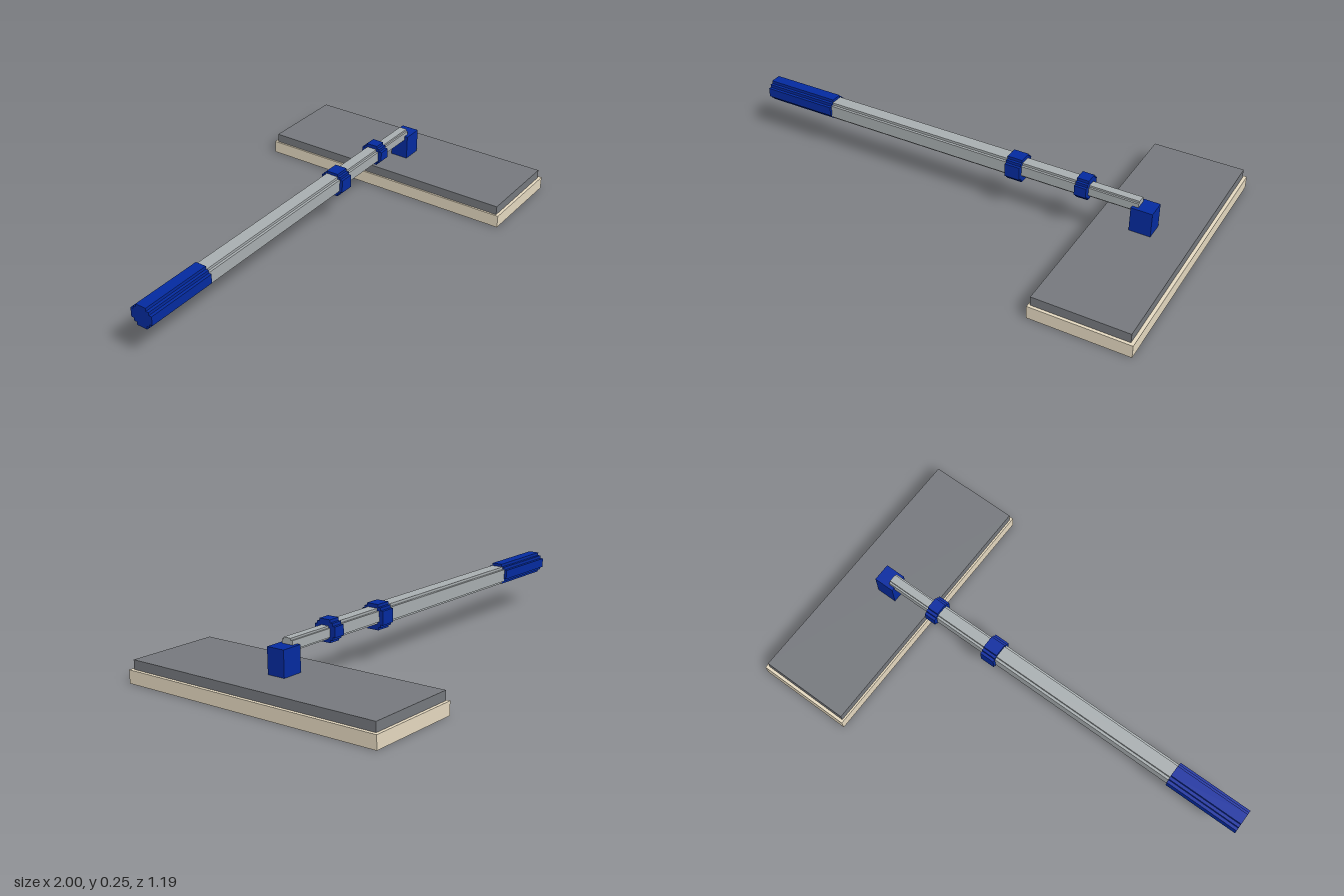
import * as THREE from 'three';

const mat = (name, color) => {
  const m = new THREE.MeshStandardMaterial({ color });
  m.name = name;
  return m;
};

export function createModel() {
  const blue = mat('blue plastic', 0x042ba0);
  const metal = mat('grey metal', 0xa9afb1);
  const plate = mat('dark grey plate', 0x76797e);
  const pad = mat('cream pad', 0xe6dac1);
  const group = new THREE.Group();
  group.name = 'flatMop';

  const add = (name, geometry, material) => {
    const mesh = new THREE.Mesh(geometry, material);
    mesh.name = name;
    group.add(mesh);
  };

  const box = (name, x0, x1, y0, y1, z0, z1, material) => {
    const g = new THREE.BoxGeometry(x1 - x0, y1 - y0, z1 - z0);
    g.translate((x0 + x1) / 2, (y0 + y1) / 2, (z0 + z1) / 2);
    add(name, g, material);
  };

  // Bar along x; its section is a rectangle with stepped corners
  const bar = (name, x0, x1, y0, y1, halfZ, step, steps, material) => {
    const cy = (y0 + y1) / 2, h = (y1 - y0) / 2;
    const corner = [];
    for (let i = 0; i <= steps; i++) {
      corner.push([halfZ - i * step, h - (steps - i) * step]);
      if (i < steps) corner.push([halfZ - (i + 1) * step, h - (steps - i) * step]);
    }
    const back = [...corner].reverse();
    const outline = [
      ...corner,
      ...back.map(([z, y]) => [-z, y]),
      ...corner.map(([z, y]) => [-z, -y]),
      ...back.map(([z, y]) => [z, -y]),
    ];
    const shape = new THREE.Shape(outline.map(([z, y]) => new THREE.Vector2(z, y)));
    const g = new THREE.ExtrudeGeometry(shape, { depth: x1 - x0, bevelEnabled: false });
    g.rotateY(Math.PI / 2);
    g.translate(x0, cy, 0);
    add(name, g, material);
  };

  // Telescopic pole, from grip to head
  bar('grip', -1, -0.67, 0.16, 0.252, 0.05, 0.013, 2, blue);
  bar('outerTube', -0.67, 0.2, 0.164, 0.24, 0.039, 0.011, 1, metal);
  bar('largeCollar', 0.19, 0.256, 0.146, 0.252, 0.052, 0.012, 2, blue);
  bar('middleTube', 0.256, 0.51, 0.172, 0.236, 0.033, 0.01, 1, metal);
  bar('smallCollar', 0.498, 0.549, 0.161, 0.252, 0.05, 0.012, 2, blue);
  bar('innerTube', 0.549, 0.761, 0.176, 0.227, 0.025, 0.008, 1, metal);

  // Joint and mop head
  box('jointBlock', 0.735, 0.826, 0.095, 0.202, -0.04, 0.04, blue);
  box('headPlate', 0.587, 0.986, 0.055, 0.094, -0.583, 0.583, plate);
  box('cleaningPad', 0.579, 1, 0, 0.055, -0.596, 0.596, pad);

  return group;
}
